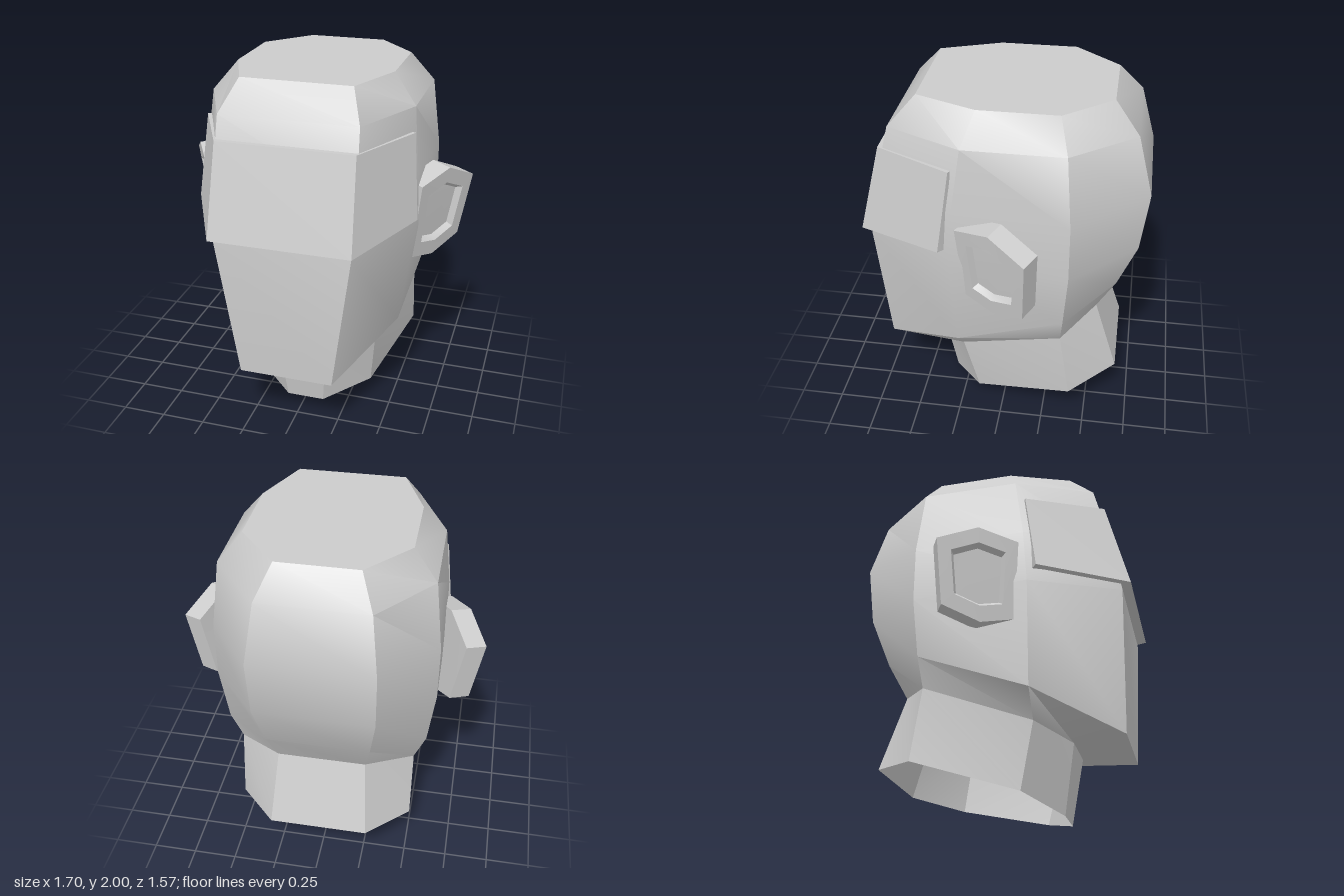
import * as THREE from 'three';
import { toCreasedNormals } from 'three/addons/utils/BufferGeometryUtils.js';

const grey = new THREE.MeshStandardMaterial({ color: 0xcccccc, side: THREE.DoubleSide });
grey.name = 'plainGrey';

// Complete a left-half cross-section with its mirror image
const mirrorRing = (half) => [...half, ...half.map(([x, y, z]) => [-x, y, z]).reverse()];

// Skin a stack of rings, each counter-clockwise seen from the first ring's side
function loft(name, rings, { capStart = false, capEnd = false } = {}) {
  const n = rings[0].length;
  const index = [];
  for (let r = 0; r < rings.length - 1; r++) {
    for (let i = 0; i < n; i++) {
      const j = (i + 1) % n;
      const a = r * n + i, b = a + n, c = (r + 1) * n + j, d = r * n + j;
      index.push(a, b, c, a, c, d);
    }
  }
  const last = (rings.length - 1) * n;
  for (let i = 1; i < n - 1; i++) {
    if (capStart) index.push(0, i, i + 1);
    if (capEnd) index.push(last, last + i + 1, last + i);
  }
  const geo = new THREE.BufferGeometry();
  geo.setAttribute('position', new THREE.Float32BufferAttribute(rings.flat(2), 3));
  geo.setIndex(index);
  const mesh = new THREE.Mesh(toCreasedNormals(geo, 0.58), grey);
  mesh.name = name;
  return mesh;
}

// Shared seam between head and neck: front, side front, side back, back
const neckTop = [[0.145, 0.39, 0.4], [0.4, 0.445, 0.23], [0.51, 0.64, -0.35], [0.25, 0.7, -0.535]];

function makeHead() {
  const halves = [
    [[0.305, 2, 0.455], [0.44, 2, 0.12], [0.44, 2, -0.31], [0.22, 2, -0.565]],
    [[0.375, 1.84, 0.6], [0.57, 1.84, 0.18], [0.57, 1.84, -0.36], [0.295, 1.84, -0.7]],
    [[0.385, 1.48, 0.69], [0.605, 1.48, 0.23], [0.615, 1.45, -0.39], [0.335, 1.52, -0.785]],
    [[0.375, 1.17, 0.735], [0.612, 1.17, 0.25], [0.615, 1.13, -0.39], [0.33, 1.18, -0.745]],
    [[0.265, 0.375, 0.7], [0.53, 0.585, 0.235], [0.575, 0.8, -0.365], [0.29, 0.9, -0.64]],
    neckTop,
  ];
  return loft('head', halves.map(mirrorRing), { capStart: true });
}

// Neck, open at the bottom
function makeNeck() {
  const bottom = [[0.11, 0, 0.335], [0.36, 0.08, 0.15], [0.51, 0.235, -0.41], [0.28, 0.28, -0.67]];
  return loft('neck', [neckTop, bottom].map(mirrorRing));
}

// Raised band across the brow and eyes, wrapping onto the temples
function makeBrow() {
  const halves = [
    [[0.375, 1.715, 0.66], [0.585, 1.715, 0.24], [0.5, 1.715, 0.2]],
    [[0.39, 1.205, 0.785], [0.628, 1.25, 0.305], [0.5, 1.24, 0.2]],
  ];
  return loft('browBand', halves.map(mirrorRing), { capStart: true, capEnd: true });
}

// Six-sided ear plate with a recessed centre
function makeEar(side) {
  const rim = [
    [0.85, 1.355, -0.185], [0.745, 1.455, 0.015], [0.63, 1.4, 0.21],
    [0.58, 0.955, 0.175], [0.67, 0.915, 0.01], [0.785, 0.985, -0.17],
  ];
  const centre = [0.71, 1.185, 0.015];
  const back = [-0.105, 0.015, -0.055];
  const ring = (scale, depth) => {
    const pts = rim.map((p) => p.map((v, k) => centre[k] + (v - centre[k]) * scale + back[k] * depth));
    return side > 0 ? pts : pts.map(([x, y, z]) => [-x, y, z]).reverse();
  };
  return loft(side > 0 ? 'leftEar' : 'rightEar',
    [ring(0.59, 0.28), ring(0.67, 0), ring(1, 0), ring(1, 1)],
    { capStart: true, capEnd: true });
}

export function createModel() {
  const group = new THREE.Group();
  group.name = 'headBust';
  group.add(makeHead(), makeNeck(), makeBrow(), makeEar(1), makeEar(-1));
  return group;
}
